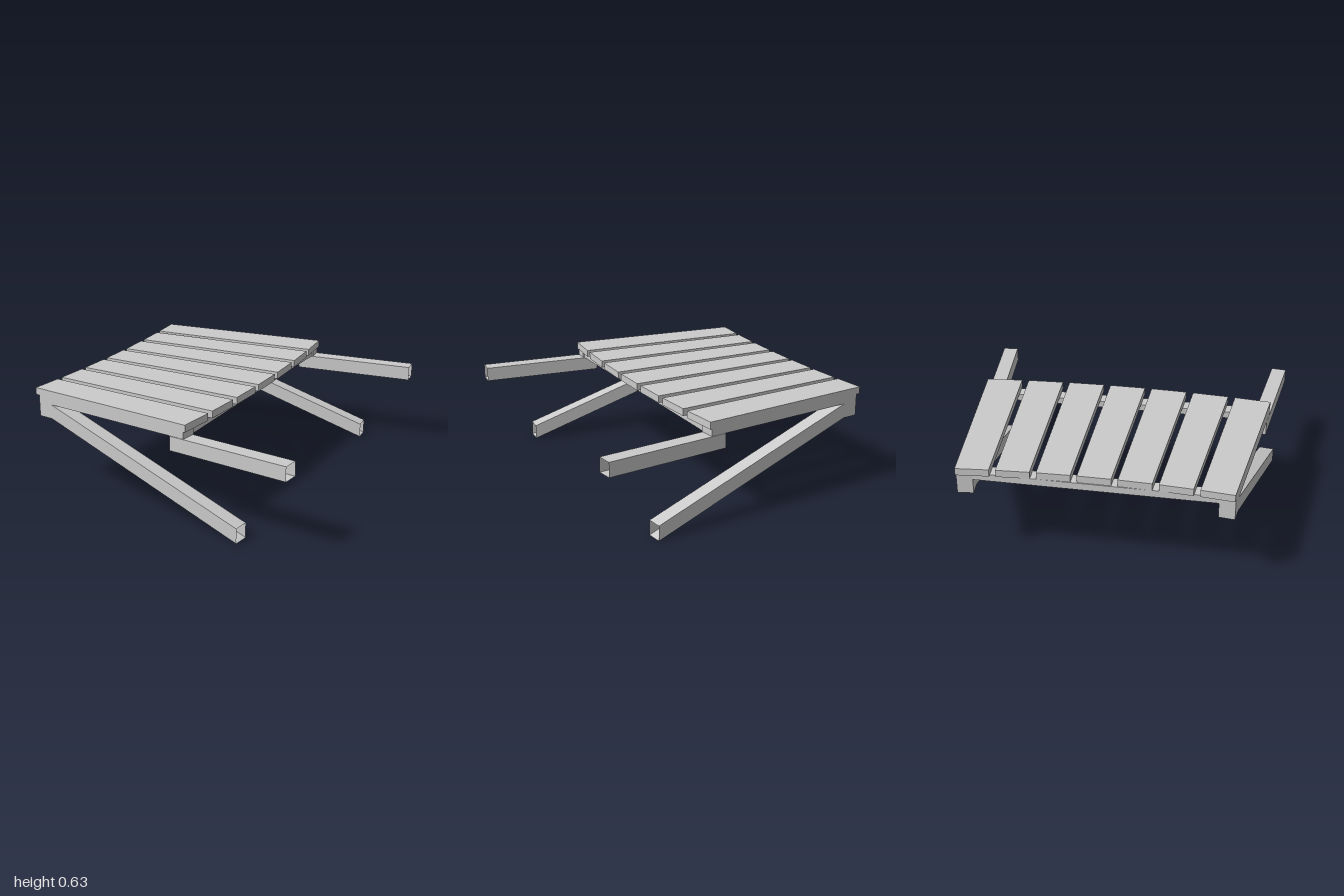
import * as THREE from 'three';

const material = new THREE.MeshStandardMaterial({ color: 0xcccccc, flatShading: true, side: THREE.DoubleSide });

// The slats and side members all fan out from one distant point on the x axis
const APEX = -8.09, STEP = 0.0324, HALF = 0.0136;
const EDGE = 3 * STEP + HALF;
const BEAM = 0.095;

// Four corners of a section: p is the [x, z] on the +z side, q on the -z side
const section = (p, q, y0, y1) => [
  [p[0], y0, p[1]], [q[0], y0, q[1]], [q[0], y1, q[1]], [p[0], y1, p[1]],
];

// Joins sections running towards +x; the far end may be left open
function loft(name, sections, openEnd = false) {
  const pos = [];
  const quad = (a, b, c, d) => pos.push(...a, ...b, ...c, ...a, ...c, ...d);
  for (let i = 0; i < sections.length - 1; i++) {
    const A = sections[i], B = sections[i + 1];
    for (let k = 0; k < 4; k++) {
      const n = (k + 1) % 4;
      quad(A[k], A[n], B[n], B[k]);
    }
  }
  const s = sections[0], e = sections[sections.length - 1];
  quad(s[3], s[2], s[1], s[0]);
  if (!openEnd) quad(e[0], e[1], e[2], e[3]);
  const geo = new THREE.BufferGeometry();
  geo.setAttribute('position', new THREE.Float32BufferAttribute(pos, 3));
  geo.computeVertexNormals();
  const mesh = new THREE.Mesh(geo, material);
  mesh.name = name;
  return mesh;
}

// Point on the fan by radius and angle
const polar = (r, a) => [APEX + r * Math.cos(a), r * Math.sin(a)];

// Beam along the outer edge of one side; stations are [x, bottom, top]
function sideBeam(name, side, stations, openEnd) {
  return loft(name, stations.map(([x, y0, y1]) => {
    const outer = [x, side * Math.tan(EDGE) * (x - APEX)];
    const inner = [x + BEAM * Math.sin(EDGE), outer[1] - side * BEAM * Math.cos(EDGE)];
    return side > 0 ? section(outer, inner, y0, y1) : section(inner, outer, y0, y1);
  }), openEnd);
}

export function createModel() {
  const model = new THREE.Group();
  model.name = 'slattedSeat';

  // Seven tapered slats
  const slats = new THREE.Group();
  slats.name = 'slats';
  for (let i = -3; i <= 3; i++) {
    const a = i * STEP;
    slats.add(loft('slat', [7.24, 8.366].map((r) =>
      section(polar(r, a + HALF), polar(r, a - HALF), 0.588, 0.632))));
  }
  model.add(slats);

  // Cross rails between the side rails
  const crossRail = (name, x0, x1) => loft(name, [x0, x1].map((x) => {
    const z = Math.tan(EDGE) * (x - APEX) - BEAM;
    return section([x, z], [x, -z], 0.545, 0.588);
  }));
  model.add(crossRail('backCrossRail', -0.857, -0.77), crossRail('frontCrossRail', 0.128, 0.215));

  // Side rail, protruding arm and sloping strut on each side
  for (const side of [1, -1]) {
    const label = side > 0 ? 'left' : 'right';
    model.add(
      sideBeam(label + 'SideRail', side, [[-0.87, 0.545, 0.588], [0.213, 0.545, 0.588]]),
      sideBeam(label + 'Arm', side, [[0.116, 0.455, 0.543], [0.88, 0.455, 0.543]], true),
      sideBeam(label + 'Strut', side, [[-0.87, 0.455, 0.545], [-0.775, 0.455, 0.545], [0.568, 0, 0.092]], true),
    );
  }
  return model;
}
